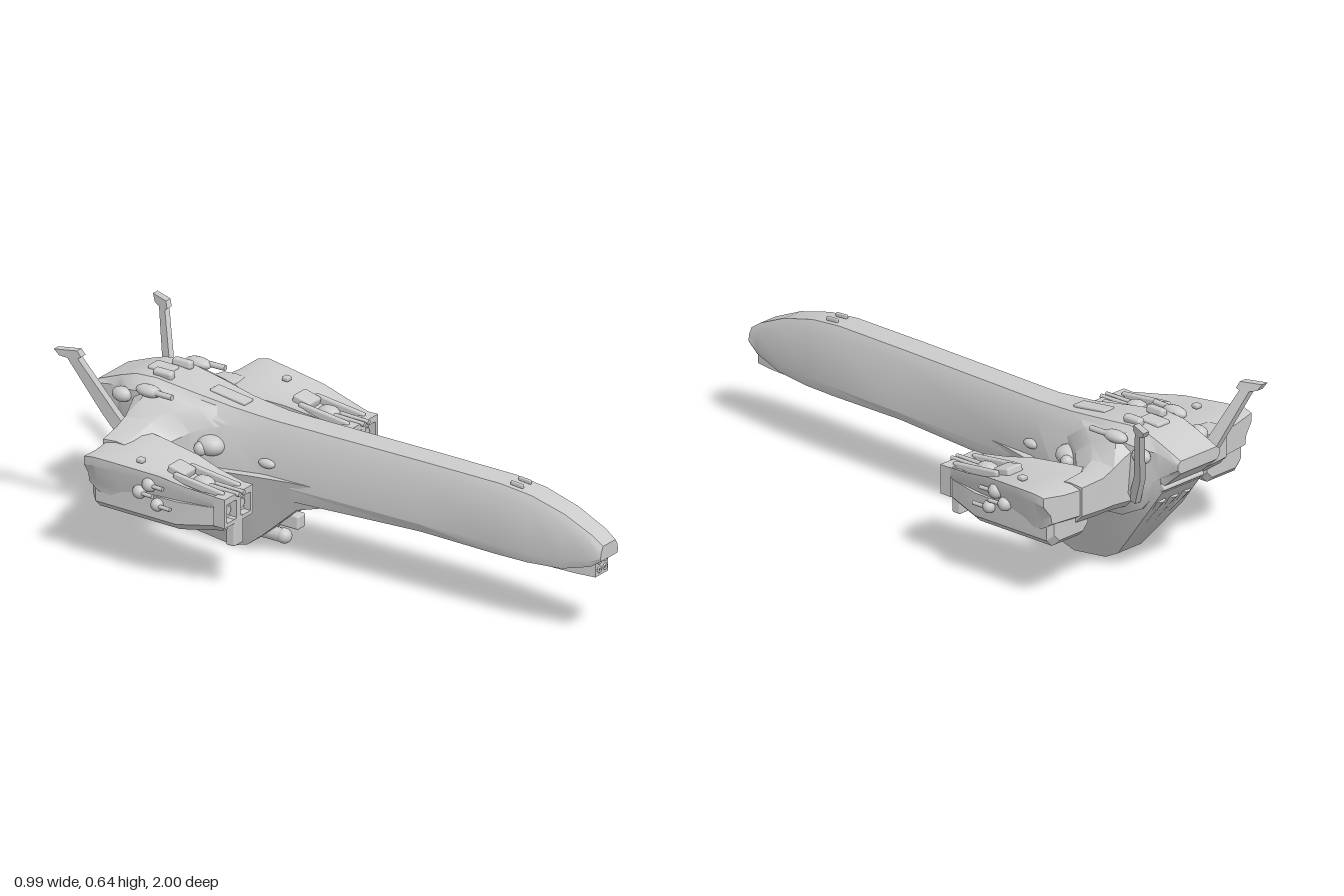
import * as THREE from 'three';
import { toCreasedNormals } from 'three/addons/utils/BufferGeometryUtils.js';
import { RoundedBoxGeometry } from 'three/addons/geometries/RoundedBoxGeometry.js';

const grey = new THREE.MeshStandardMaterial({ color: 0xcccccc });

function add(parent, name, geo, pos = [0, 0, 0], rot = [0, 0, 0]) {
  const m = new THREE.Mesh(geo, grey);
  m.name = name;
  m.position.set(...pos);
  m.rotation.set(...rot);
  parent.add(m);
  return m;
}

// Skin a row of closed cross-sections, cap both ends and face everything outward.
function loft(sections, crease = 0.5) {
  const n = sections[0].length, pts = sections.flat(), idx = [];
  const centre = s => s.reduce((a, p) => a.map((v, i) => v + p[i] / n), [0, 0, 0]);
  for (let i = 0; i < sections.length - 1; i++)
    for (let j = 0; j < n; j++) {
      const a = i * n + j, b = i * n + (j + 1) % n;
      idx.push(a, b, b + n, a, b + n, a + n);
    }
  const last = (sections.length - 1) * n, c0 = pts.length;
  pts.push(centre(sections[0]), centre(sections[sections.length - 1]));
  for (let j = 0; j < n; j++) {
    const k = (j + 1) % n;
    idx.push(c0, k, j, c0 + 1, last + j, last + k);
  }
  let volume = 0;
  const v = i => new THREE.Vector3(...pts[i]);
  for (let i = 0; i < idx.length; i += 3)
    volume += v(idx[i]).dot(v(idx[i + 1]).cross(v(idx[i + 2])));
  if (volume < 0) idx.reverse();
  const g = new THREE.BufferGeometry();
  g.setAttribute('position', new THREE.Float32BufferAttribute(pts.flat(), 3));
  g.setIndex(idx);
  return toCreasedNormals(g, crease);
}

// Mirror a half outline [x, y] (top to bottom) into a full section at z.
const ring = (z, half) => [
  ...half.map(([x, y]) => [x, y, z]),
  ...half.slice().reverse().map(([x, y]) => [-x, y, z]),
];

// Straight rod between two points.
function rod(parent, name, a, b, r0, r1 = r0, sides = 10) {
  const A = new THREE.Vector3(...a), B = new THREE.Vector3(...b), d = B.clone().sub(A);
  const m = add(parent, name, new THREE.CylinderGeometry(r1, r0, d.length(), sides));
  m.position.copy(A).add(B).multiplyScalar(0.5);
  m.quaternion.setFromUnitVectors(new THREE.Vector3(0, 1, 0), d.normalize());
}

const ball = (parent, name, pos, r, sx = 1, sy = 1, sz = 1) =>
  add(parent, name, new THREE.SphereGeometry(r, 16, 10).scale(sx, sy, sz), pos);

const block = (parent, name, size, pos, rot, r = 0.008) =>
  add(parent, name, new RoundedBoxGeometry(...size, 2, r), pos, rot);

function buildHull(ship) {
  // z, top y, top half width, shoulder y, shoulder half width, waist y, waist half width, floor y, floor half width
  const hull = [
    [1.0, 0.352, 0.035, 0.335, 0.045, 0.312, 0.05, 0.302, 0.045],
    [0.96, 0.38, 0.037, 0.36, 0.05, 0.295, 0.057, 0.275, 0.05],
    [0.85, 0.43, 0.04, 0.40, 0.056, 0.28, 0.068, 0.245, 0.06],
    [0.72, 0.465, 0.043, 0.43, 0.061, 0.275, 0.078, 0.238, 0.068],
    [0.6, 0.478, 0.045, 0.44, 0.064, 0.275, 0.083, 0.238, 0.07],
    [0.3, 0.48, 0.046, 0.44, 0.065, 0.275, 0.085, 0.243, 0.07],
    [-0.3, 0.48, 0.048, 0.44, 0.07, 0.275, 0.09, 0.22, 0.075],
    [-0.45, 0.492, 0.058, 0.44, 0.092, 0.28, 0.13, 0.21, 0.11],
    [-0.6, 0.515, 0.075, 0.47, 0.12, 0.29, 0.155, 0.22, 0.13],
    [-0.74, 0.535, 0.085, 0.5, 0.14, 0.31, 0.155, 0.23, 0.12],
    [-0.82, 0.53, 0.085, 0.49, 0.13, 0.34, 0.14, 0.27, 0.11],
    [-0.88, 0.51, 0.085, 0.48, 0.1, 0.39, 0.1, 0.35, 0.09],
    [-0.97, 0.475, 0.085, 0.465, 0.098, 0.445, 0.098, 0.43, 0.085],
  ];
  add(ship, 'hull', loft(hull.map(([z, ty, tw, sy, sw, wy, ww, by, bw]) =>
    ring(z, [[tw, ty], [sw, sy], [ww, wy], [bw, by]]))));

  // Chin with four muzzles
  add(ship, 'chin', loft([[0.97, 0.036, 0.31], [0.9, 0.045, 0.31], [0.6, 0.055, 0.28]].map(([z, w, t]) =>
    ring(z, [[w, t], [w, 0.235]]))));
  for (const x of [-0.016, 0.016])
    for (const y of [0.257, 0.287])
      add(ship, 'noseMuzzle', new THREE.TorusGeometry(0.008, 0.004, 6, 12), [x, y, 0.972]);

  // Nose ridge sensors
  for (const x of [-0.022, 0.022]) block(ship, 'noseSensor', [0.01, 0.015, 0.05], [x, 0.479, 0.65], [0.08, 0, 0], 0.004);

  // Keel: z, top y, top half width, bottom y, bottom half width
  const keel = [
    [-0.08, 0.3, 0.08, 0.23, 0.065], [-0.2, 0.3, 0.095, 0.19, 0.06],
    [-0.34, 0.3, 0.125, 0.065, 0.055], [-0.4, 0.3, 0.14, 0.018, 0.052],
    [-0.46, 0.3, 0.15, 0, 0.05], [-0.6, 0.3, 0.155, 0.018, 0.05],
    [-0.66, 0.3, 0.15, 0.05, 0.055], [-0.81, 0.32, 0.13, 0.23, 0.09],
    [-0.89, 0.4, 0.1, 0.34, 0.09],
  ];
  add(ship, 'keel', loft(keel.map(([z, ty, tw, by, bw]) => ring(z, [[tw, ty], [bw, by]]))));

  // Exhaust ribs lying on the sloping stern
  for (const k of [-1, 0, 1])
    rod(ship, 'exhaustRib', [k * 0.032, 0.07, -0.655], [k * 0.06, 0.31, -0.845], 0.014, 0.028, 14);
  block(ship, 'exhaustLip', [0.19, 0.03, 0.05], [0, 0.355, -0.88], [0.6, 0, 0]);

  // Belly turrets
  ball(ship, 'bellyTurret', [0, 0.058, -0.29], 0.026);
  rod(ship, 'bellyTurretMount', [0, 0.058, -0.29], [0, 0.058, -0.4], 0.024);
  block(ship, 'bellySensor', [0.045, 0.05, 0.12], [0, 0.125, -0.28]);

  // Spine fittings
  block(ship, 'spineHatch', [0.06, 0.02, 0.09], [0, 0.532, -0.77]);
  block(ship, 'spinePlate', [0.05, 0.012, 0.14], [0, 0.502, -0.5], [0.13, 0, 0], 0.004);
}

function buildSide(ship, s) {
  const g = new THREE.Group();
  g.name = s > 0 ? 'leftSide' : 'rightSide';
  ship.add(g);

  // Wing: x, front z, back z, top y, bottom y
  const wing = [
    [0.06, -0.42, -0.8, 0.49, 0.27], [0.11, -0.49, -0.8, 0.485, 0.27], [0.15, -0.56, -0.79, 0.462, 0.27],
    [0.2, -0.61, -0.78, 0.43, 0.27], [0.25, -0.62, -0.78, 0.41, 0.27], [0.34, -0.62, -0.77, 0.4, 0.27],
  ];
  add(g, 'wing', loft(wing.map(([x, f, b, t, u], i) => [
    [s * x, t - 0.055, f], [s * x, t, f - 0.07], [s * x, t + (i < 3 ? 0.035 : 0.004), b + 0.05],
    [s * x, t, b], [s * x, u + 0.03, b], [s * x, u, b + 0.03], [s * x, u, f],
  ])));

  // Pod: z, inner x, outer x, edge y, middle y, floor y
  const pod = [
    [-0.26, 0.272, 0.43, 0.352, 0.335, 0.25], [-0.36, 0.263, 0.45, 0.368, 0.335, 0.25],
    [-0.46, 0.245, 0.465, 0.388, 0.37, 0.25], [-0.62, 0.222, 0.485, 0.402, 0.396, 0.26],
    [-0.74, 0.21, 0.495, 0.408, 0.4, 0.275], [-0.78, 0.21, 0.49, 0.4, 0.39, 0.3],
  ];
  add(g, 'pod', loft(pod.map(([z, a, b, e, m, f]) => {
    const back = z < -0.7 ? 0.04 : 0, w = b - a;
    return [[a, e], [a + w * 0.3, m], [a + w * 0.7, m], [b, e], [b, e - 0.03], [b - 0.03, f + 0.03], [b - 0.035, f], [a + 0.015, f]]
      .map(([x, y]) => [s * x, y, z + back * (x - a) / w]);
  })));

  // Lower pod body
  add(g, 'podBelly', loft([[-0.25, 0.285, 0.42, 0.225], [-0.4, 0.275, 0.455, 0.205], [-0.72, 0.275, 0.455, 0.21], [-0.74, 0.28, 0.44, 0.23]]
    .map(([z, a, b, y]) => [[a, 0.31], [b, 0.31], [b, y + 0.025], [b - 0.025, y], [a + 0.025, y], [a, y + 0.025]]
      .map(([x, v]) => [s * x, v, z]))));

  // Launcher frame with two square openings, each holding a tube
  const face = new THREE.Shape([[-0.08, -0.05], [0.08, -0.05], [0.08, 0.052], [-0.08, 0.052]].map(p => new THREE.Vector2(...p)));
  for (const k of [-1, 1]) {
    const c = k * 0.039;
    face.holes.push(new THREE.Path([[-0.027, -0.036], [-0.027, 0.03], [0.027, 0.03], [0.027, -0.036]]
      .map(([x, y]) => new THREE.Vector2(c + x, y))));
    rod(g, 'launchTube', [s * 0.352 + c, 0.297, -0.28], [s * 0.352 + c, 0.297, -0.238], 0.02, 0.016, 12);
  }
  add(g, 'launcherFrame', new THREE.ExtrudeGeometry(face, { depth: 0.045, bevelEnabled: false }), [s * 0.352, 0.3, -0.268]);
  block(g, 'podLeg', [0.052, 0.1, 0.035], [s * 0.352, 0.217, -0.24], [0, 0, 0], 0.006);

  // Pod turret with twin barrels and rails
  ball(g, 'podTurret', [s * 0.352, 0.352, -0.36], 0.03, 1, 0.8, 1.4);
  for (const k of [-1, 1]) {
    rod(g, 'podBarrel', [s * 0.352 + k * 0.012, 0.355, -0.36], [s * 0.352 + k * 0.012, 0.35, -0.21], 0.008);
    block(g, 'turretRail', [0.018, 0.03, 0.2], [s * 0.352 + k * 0.045, 0.358, -0.35], [0.12, 0, 0]);
  }
  block(g, 'turretFairing', [0.07, 0.03, 0.07], [s * 0.352, 0.375, -0.45], [0.25, 0, 0]);
  block(g, 'podVent', [0.025, 0.015, 0.025], [s * 0.41, 0.4, -0.57], [0, 0, 0], 0.004);

  // Turrets on the outer pod flank
  for (const [y, z, r] of [[0.35, -0.5, 0.026], [0.315, -0.54, 0.024], [0.285, -0.47, 0.022]]) {
    ball(g, 'flankTurret', [s * 0.462, y, z], r);
    rod(g, 'flankBarrel', [s * 0.47, y, z], [s * 0.474, y, z + 0.06], 0.007);
  }

  // Hull turrets
  ball(g, 'neckTurret', [s * 0.115, 0.368, -0.5], 0.042, 1, 0.85, 1.2);
  ball(g, 'neckTurretCap', [s * 0.145, 0.36, -0.52], 0.024);
  ball(g, 'neckBlister', [s * 0.085, 0.34, -0.3], 0.016, 1, 1, 2);
  ball(g, 'shoulderTurret', [s * 0.14, 0.51, -0.73], 0.026, 1, 0.8, 1.9);
  rod(g, 'shoulderBarrel', [s * 0.147, 0.513, -0.72], [s * 0.15, 0.513, -0.63], 0.01);
  ball(g, 'shoulderPod', [s * 0.135, 0.47, -0.84], 0.026, 1, 1, 1.4);
  block(g, 'spineTurret', [0.03, 0.03, 0.075], [s * 0.054, 0.54, -0.73], [0, 0, s * -0.2], 0.01);

  // Raked tail antenna with a squared tip
  const fin = [[0.125, 0.3, -0.8, 0.024], [0.165, 0.41, -0.862, 0.022], [0.252, 0.615, -0.945, 0.016], [0.256, 0.622, -0.952, 0.034], [0.265, 0.645, -0.964, 0.036]];
  add(g, 'tailAntenna', loft(fin.map(([x, y, z, d]) => [[-0.013, d], [0.013, d], [0.013, -d], [-0.013, -d]]
    .map(([u, w]) => [s * (x + u + w * -0.4), y, z + w]))));
}

export function createModel() {
  const ship = new THREE.Group();
  ship.name = 'spaceship';
  buildHull(ship);
  for (const s of [1, -1]) buildSide(ship, s);
  return ship;
}
